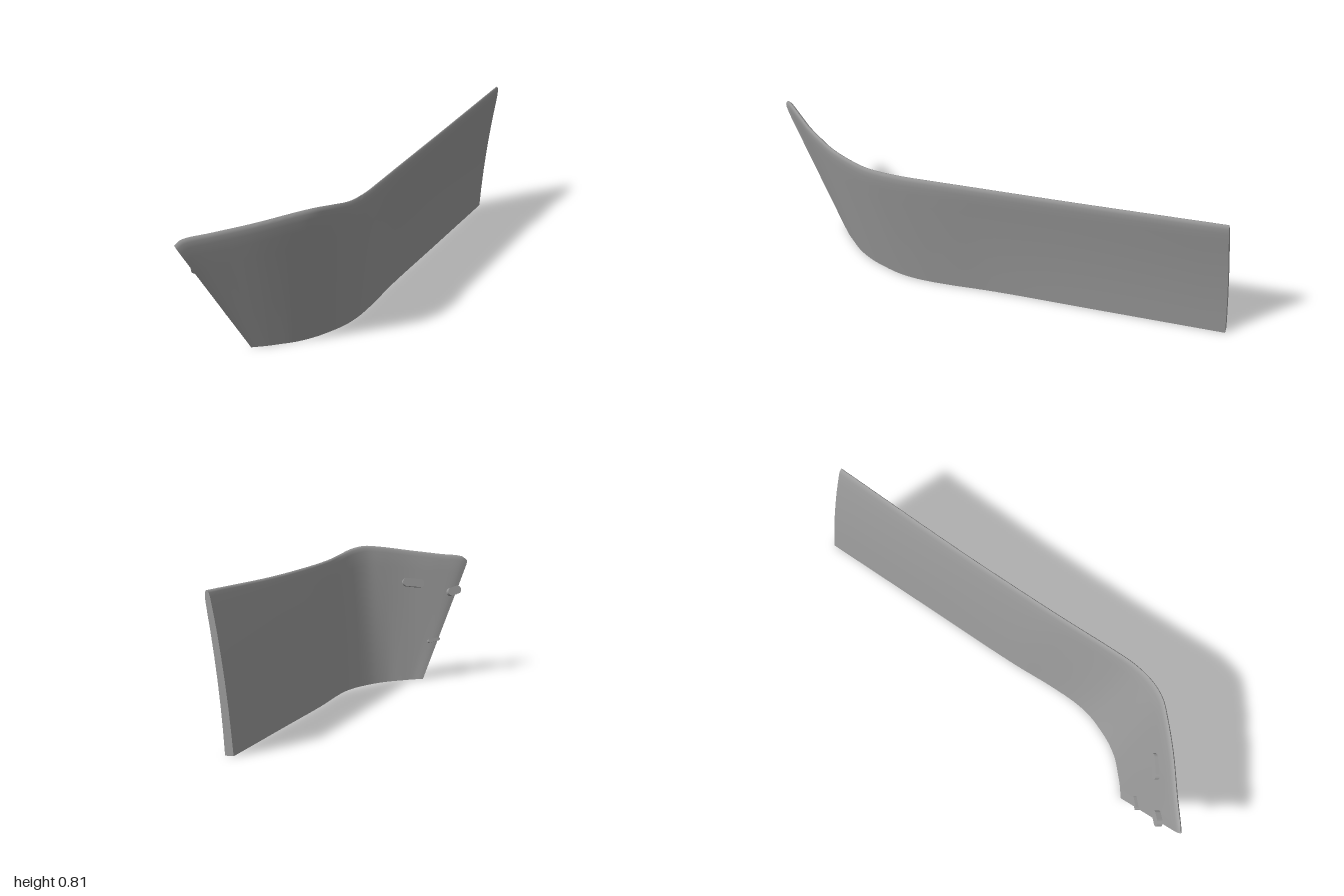
import * as THREE from 'three';
import { toCreasedNormals } from 'three/addons/utils/BufferGeometryUtils.js';

// Matching points along the outer face: bottom (x, z) and top (x, y, z)
const columns = [
  [-0.63, 0.76, -1.0, 0.69, 0.99],
  [-0.61, 0.758, -0.965, 0.717, 0.985],
  [-0.56, 0.755, -0.82, 0.738, 0.968],
  [-0.495, 0.745, -0.6, 0.77, 0.947],
  [-0.39, 0.725, -0.42, 0.798, 0.917],
  [-0.29, 0.685, -0.3, 0.81, 0.888],
  [-0.2, 0.63, -0.2, 0.8, 0.832],
  [-0.12, 0.57, -0.1, 0.778, 0.742],
  [-0.04, 0.485, 0.0, 0.765, 0.605],
  [0.06, 0.34, 0.1, 0.763, 0.45],
  [0.2, 0.11, 0.21, 0.764, 0.28],
  [0.5, -0.34, 0.53, 0.773, -0.2],
  [0.92, -0.97, 1.0, 0.803, -0.88],
];

// Cross-section: height fraction and depth behind the outer face
const section = [
  [0, 0], [0.15, 0], [0.3, 0], [0.45, 0], [0.6, 0], [0.75, 0], [0.86, 0], [0.93, 0.001],
  [0.97, 0.004], [0.99, 0.009], [1, 0.016], [0.997, 0.022], [0.985, 0.027],
  [0.96, 0.03], [0.86, 0.032], [0.75, 0.034], [0.6, 0.036], [0.45, 0.038], [0.3, 0.04], [0.15, 0.042], [0, 0.045],
];

function panelGeometry() {
  const bottom = new THREE.CatmullRomCurve3(columns.map(c => new THREE.Vector3(c[0], 0, c[1])));
  const top = new THREE.CatmullRomCurve3(columns.map(c => new THREE.Vector3(c[2], c[3], c[4])));
  const steps = 72, count = section.length;
  const positions = [], index = [];

  for (let i = 0; i <= steps; i++) {
    const u = i / steps;
    const b = bottom.getPoint(u), t = top.getPoint(u);
    const tangentB = bottom.getTangent(u), tangentT = top.getTangent(u);
    const bow = 0.5 * THREE.MathUtils.smoothstep(u, 0.6, 1);
    for (const [v, depth] of section) {
      const lean = v - bow * v * (1 - v);
      const p = b.clone().lerp(t, lean);
      const along = tangentB.clone().lerp(tangentT, lean).setY(0).normalize();
      positions.push(p.x + along.z * depth, t.y * v, p.z - along.x * depth);
    }
  }
  // Skin, including the underside that closes the section
  for (let i = 0; i < steps; i++) {
    for (let j = 0; j < count; j++) {
      const k = (j + 1) % count;
      const a = i * count + j, b = a + count, c = i * count + k, d = c + count;
      index.push(a, b, d, a, d, c);
    }
  }
  // End caps
  const last = steps * count;
  for (let j = 0; j < (count - 1) / 2; j++) {
    const m = count - 1 - j;
    index.push(j, j + 1, m - 1, j, m - 1, m);
    index.push(last + j, last + m - 1, last + j + 1, last + j, last + m, last + m - 1);
  }
  const geometry = new THREE.BufferGeometry();
  geometry.setAttribute('position', new THREE.Float32BufferAttribute(positions, 3));
  geometry.setIndex(index);
  return toCreasedNormals(geometry, 0.7);
}

// Slot-shaped boss, standing out towards -z
function bossGeometry(length, width, depth) {
  const r = width / 2, h = length / 2 - r;
  const shape = new THREE.Shape();
  shape.absarc(h, 0, r, -Math.PI / 2, Math.PI / 2, false);
  shape.absarc(-h, 0, r, Math.PI / 2, Math.PI * 1.5, false);
  const geometry = new THREE.ExtrudeGeometry(shape, { depth, bevelEnabled: false, curveSegments: 8 });
  geometry.translate(0, 0, -depth);
  return geometry;
}

export function createModel() {
  const model = new THREE.Group();
  model.name = 'curvedPanel';
  const grey = new THREE.MeshStandardMaterial({ color: 0x9c9c9c });
  grey.name = 'grey';

  const panel = new THREE.Mesh(panelGeometry(), grey);
  panel.name = 'panel';
  model.add(panel);

  // Mounting bosses on the back of the short wing: x, y, z, length, width, turn
  const bosses = [
    [-0.61, 0.57, 0.875, 0.14, 0.05, 0.1],
    [-0.88, 0.51, 0.885, 0.09, 0.05, -0.3],
    [-0.72, 0.22, 0.8, 0.08, 0.02, -0.2],
  ];
  bosses.forEach(([x, y, z, length, width, turn], i) => {
    const boss = new THREE.Mesh(bossGeometry(length, width, 0.03), grey);
    boss.name = 'mountingBoss' + (i + 1);
    boss.position.set(x, y, z);
    boss.rotation.set(0.28, 0.1, turn);
    model.add(boss);
  });
  return model;
}
